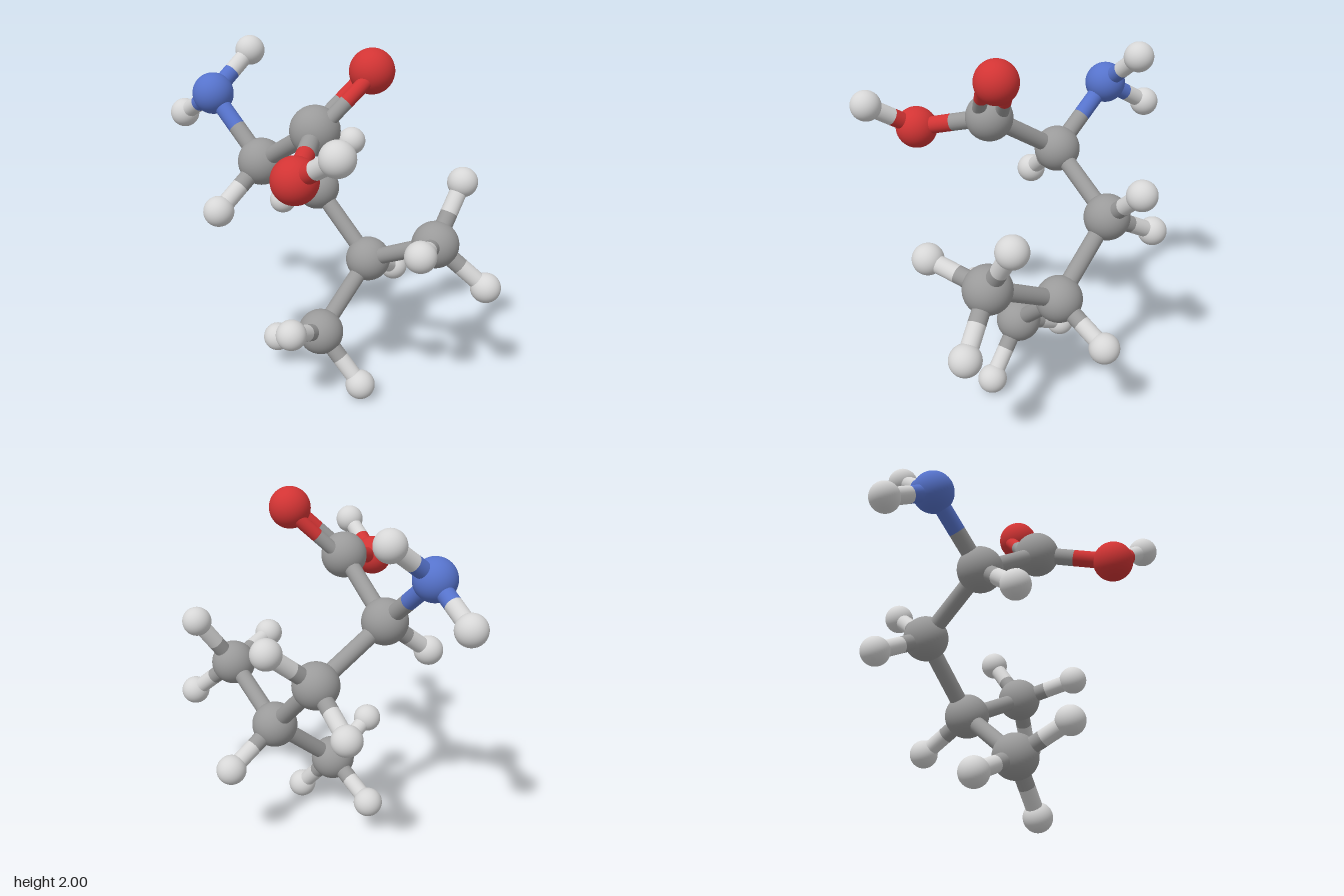
import * as THREE from 'three';

const mat = (name, color) => Object.assign(new THREE.MeshStandardMaterial({ color }), { name });

export function createModel() {
  const model = new THREE.Group();
  model.name = 'ballAndStickMolecule';

  // one colour and ball radius per element
  const elements = {
    C: { name: 'carbon', radius: 0.13, material: mat('carbonGrey', 0x9a9a9a) },
    H: { name: 'hydrogen', radius: 0.084, material: mat('hydrogenWhite', 0xd6d6d6) },
    N: { name: 'nitrogen', radius: 0.116, material: mat('nitrogenBlue', 0x5673cc) },
    O: { name: 'oxygen', radius: 0.116, material: mat('oxygenRed', 0xd23434) },
  };
  for (const e of Object.values(elements)) e.ball = new THREE.SphereGeometry(e.radius, 40, 28);

  // atoms: element, x, y, z, atom it hangs from
  const atoms = {
    alpha: ['C', -0.214, 1.337, 0.17],
    amine: ['N', -0.586, 1.66, 0.18, 'alpha'],
    amineH1: ['H', -0.572, 1.867, -0.1, 'amine'],
    amineH2: ['H', -0.887, 1.49, 0.15, 'amine'],
    alphaH: ['H', -0.25, 1.115, 0.463, 'alpha'],
    carboxyl: ['C', 0.225, 1.607, 0.213, 'alpha'],
    carbonylO: ['O', 0.364, 1.886, -0.058, 'carboxyl'],
    hydroxylO: ['O', 0.453, 1.497, 0.598, 'carboxyl'],
    hydroxylH: ['H', 0.735, 1.67, 0.627, 'hydroxylO'],
    beta: ['C', -0.203, 1.067, -0.278, 'alpha'],
    betaH1: ['H', -0.533, 0.892, -0.315, 'beta'],
    betaH2: ['H', -0.178, 1.3, -0.56, 'beta'],
    gamma: ['C', 0.17, 0.7, -0.315, 'beta'],
    gammaH: ['H', 0.122, 0.527, -0.634, 'gamma'],
    sideMethyl: ['C', 0.634, 0.932, -0.315, 'gamma'],
    sideH1: ['H', 0.64, 1.237, -0.537, 'sideMethyl'],
    sideH2: ['H', 0.77, 1.012, 0.017, 'sideMethyl'],
    sideH3: ['H', 0.88, 0.697, -0.464, 'sideMethyl'],
    lowerMethyl: ['C', 0.152, 0.366, 0.08, 'gamma'],
    lowerH1: ['H', -0.183, 0.207, 0.098, 'lowerMethyl'],
    lowerH2: ['H', 0.231, 0.512, 0.404, 'lowerMethyl'],
    lowerH3: ['H', 0.4, 0.087, 0.014, 'lowerMethyl'],
  };
  const position = (key) => new THREE.Vector3(...atoms[key].slice(1, 4));
  const up = new THREE.Vector3(0, 1, 0);

  function addRod(name, from, to, radius, material) {
    const dir = to.clone().sub(from);
    const rod = new THREE.Mesh(new THREE.CylinderGeometry(radius, radius, dir.length(), 24), material);
    rod.name = name;
    rod.position.copy(from).lerp(to, 0.5);
    rod.quaternion.setFromUnitVectors(up, dir.normalize());
    model.add(rod);
  }

  // each bond changes colour half way between its two atoms
  function addBond(a, b, radius = 0.048, offset = new THREE.Vector3()) {
    const pa = position(a).add(offset), pb = position(b).add(offset);
    const middle = pa.clone().lerp(pb, 0.5);
    addRod(`${a}Bond`, pa, middle, radius, elements[atoms[a][0]].material);
    addRod(`${b}Bond`, middle, pb, radius, elements[atoms[b][0]].material);
  }

  for (const [key, [symbol, , , , parent]] of Object.entries(atoms)) {
    const e = elements[symbol];
    const ball = new THREE.Mesh(e.ball, e.material);
    ball.name = `${key}Ball`;
    ball.position.copy(position(key));
    model.add(ball);
    if (parent && key !== 'carbonylO') addBond(parent, key);
  }

  // double bond: two thinner rods side by side in the plane of the acid group
  const axis = position('carbonylO').sub(position('carboxyl')).normalize();
  const side = position('alpha').sub(position('carboxyl'));
  side.addScaledVector(axis, -side.dot(axis)).normalize();
  for (const s of [-1, 1]) {
    addBond('carboxyl', 'carbonylO', 0.038, side.clone().multiplyScalar(s * 0.06));
  }
  return model;
}
